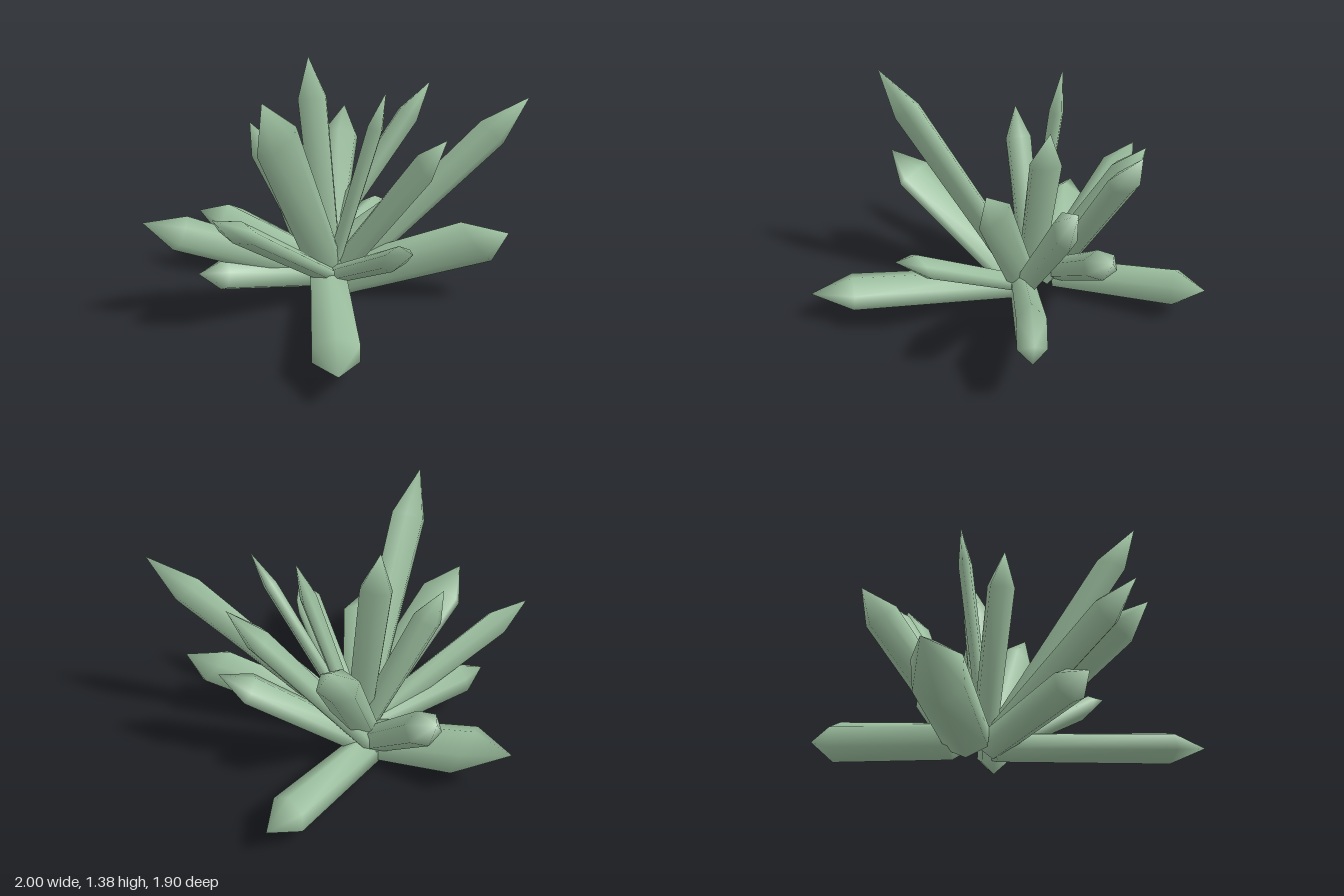
import * as THREE from 'three';
import { mergeVertices } from 'three/addons/utils/BufferGeometryUtils.js';

const material = new THREE.MeshStandardMaterial({ color: 0x9cbf9f });

// Each crystal: tip x, y, z, root z, half width across, half thickness upward,
// then optionally: roll about its axis, slant of the shoulder, shoulder position
const TALL = [
  [0.11, 1.38, -0.34, -0.12, 0.085, 0.04, 0.7],
  [-0.6, 1.37, 0.36, -0.08, 0.055, 0.125, 0.54],
  [1.0, 1.2, 0.53, -0.02, 0.05, 0.095],
  [0.38, 1.21, 0.04, -0.1, 0.085, 0.045],
  [0.42, 1.05, 0.52, -0.05, 0.035, 0.1, 0.63],
  [0.53, 0.98, -0.57, -0.2, 0.105, 0.09],
  [0.84, 1.18, -0.12, -0.33, 0.085, 0.065],
  [-0.27, 1.05, -0.36, -0.15, 0.07, 0.08],
];
const LEANING = [
  [-0.79, 0.76, 0.17, -0.06, 0.13, 0.06],
  [-1.0, 0.66, -0.22, -0.13, 0.055, 0.1],
  [0.85, 0.67, 0.07, -0.3, 0.09, 0.08],
  [0.84, 0.45, 0.61, -0.02, 0.08, 0.14, 0, -0.05],
  [0.0, 0.6, 0.77, -0.05, 0.08, 0.06, 0, 0.07],
  [0.17, 0.77, -0.94, -0.28, 0.095, 0.09],
];
const LOW = [
  [0.96, 0.21, -0.65, -0.3, 0.1, 0.115],
  [-0.33, 0.33, -0.95, -0.27, 0.135, 0.13, 0, 0.1, 0.67],
  [-0.7, 0.28, -0.22, -0.12, 0.09, 0.095],
  [-0.57, 0.2, 0.95, -0.08, 0.125, 0.09],
];

// Six-sided shaft that widens from its root to a shoulder, then closes to a point
function crystalGeometry(x, y, z, rootZ, width, thickness, roll = 0, slant = 0, shoulder = 0.81) {
  const tip = new THREE.Vector3(x, y, z);
  // roots sit in a short row, shifted slightly towards their tips
  const root = new THREE.Vector3(0.1 + 0.05 * x, 0.1 + 0.04 * y, rootZ);
  const axis = tip.clone().sub(root).normalize();
  const across = new THREE.Vector3(0, 1, 0).cross(axis).normalize().applyAxisAngle(axis, -roll);
  const upward = across.clone().cross(axis);

  const profile = [[0, 0], [0.87, 0], [1, shoulder], [0, 1]].map(([r, t]) => new THREE.Vector2(r, t));
  let geometry = new THREE.LatheGeometry(profile, 6);
  const position = geometry.attributes.position;
  for (let i = 0; i < position.count; i++) {
    const [a, t, b] = [position.getX(i), position.getY(i), position.getZ(i)];
    const along = t === 0 ? 0 : t - slant * b;
    const p = root.clone().lerp(tip, along)
      .addScaledVector(across, a * width * 1.1)
      .addScaledVector(upward, b * thickness);
    position.setXYZ(i, p.x, p.y, p.z);
  }
  // weld so the facets shade softly into each other
  geometry.deleteAttribute('uv');
  geometry.deleteAttribute('normal');
  geometry = mergeVertices(geometry, 1e-4);
  geometry.computeVertexNormals();
  return geometry;
}

function crystalRing(name, specs) {
  const ring = new THREE.Group();
  ring.name = `${name}Crystals`;
  specs.forEach((spec, i) => {
    const crystal = new THREE.Mesh(crystalGeometry(...spec), material);
    crystal.name = `${name}Crystal${i + 1}`;
    ring.add(crystal);
  });
  return ring;
}

export function createModel() {
  const group = new THREE.Group();
  group.name = 'crystalCluster';
  group.add(crystalRing('tall', TALL), crystalRing('leaning', LEANING), crystalRing('low', LOW));
  return group;
}
